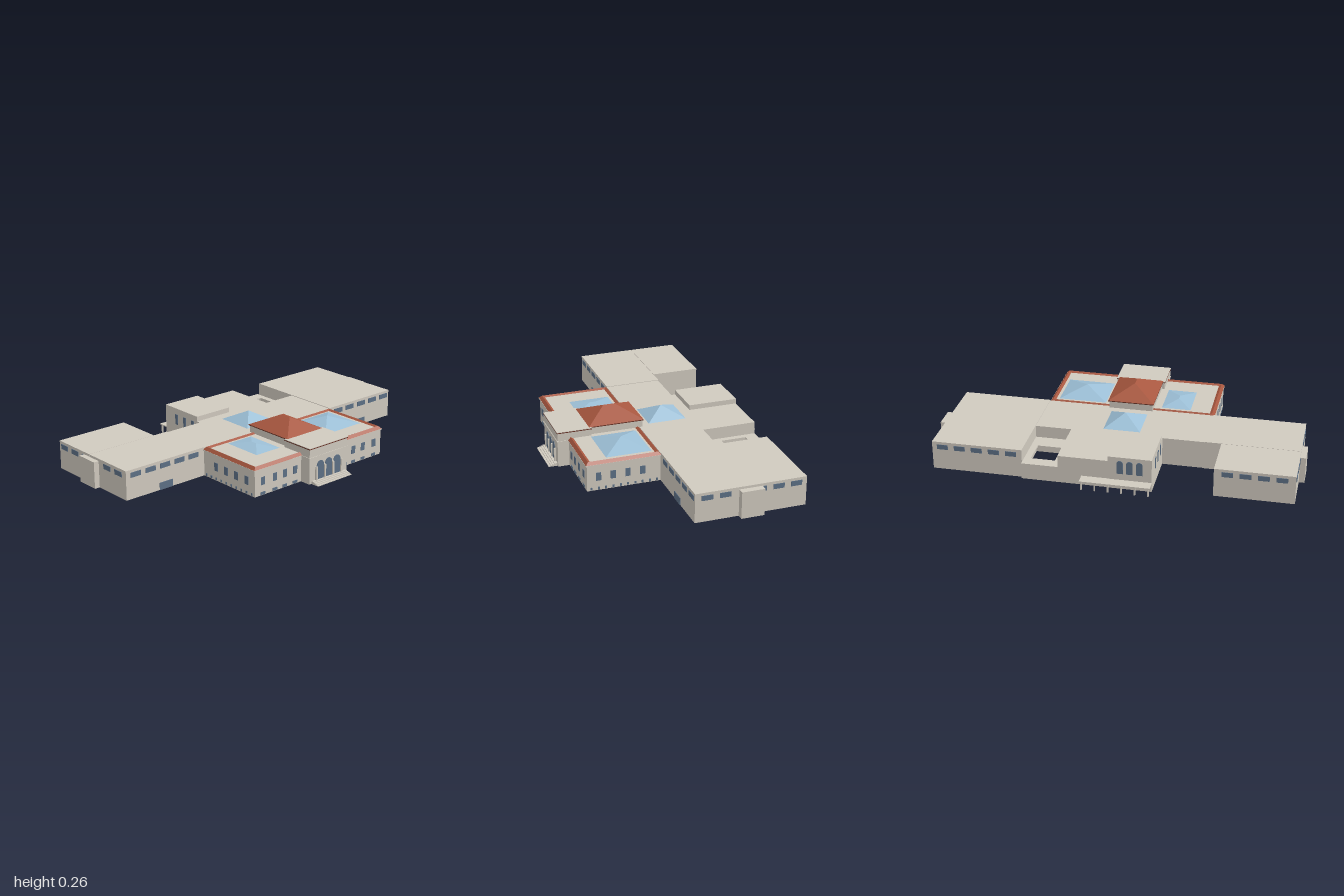
import * as THREE from 'three';

const mat = (name, color) => {
  const m = new THREE.MeshStandardMaterial({ color, side: THREE.DoubleSide });
  m.name = name;
  return m;
};

export function createModel() {
  const model = new THREE.Group();
  model.name = 'building';
  const stone = mat('pale stone', 0xd0cabf);
  const tile = mat('red tile', 0xa8573f);
  const trim = mat('dark tile trim', 0x6b3529);
  const glass = mat('window glass', 0x5d7086);
  const sky = mat('skylight glass', 0x9cbfd6);

  const add = (name, geo, material) => {
    const mesh = new THREE.Mesh(geo, material);
    mesh.name = name;
    model.add(mesh);
    return mesh;
  };

  // Solid box given by its extents
  const box = (name, x0, x1, y0, y1, z0, z1, m = stone) => {
    const g = new THREE.BoxGeometry(x1 - x0, y1 - y0, z1 - z0);
    g.translate((x0 + x1) / 2, (y0 + y1) / 2, (z0 + z1) / 2);
    return add(name, g, m);
  };

  // Hollow block standing on the ground: walls and roof, no floor
  const shell = (name, x0, x1, z0, z1, h, openTop = false) => {
    const mesh = box(name, x0, x1, 0, h, z0, z1);
    const idx = Array.from(mesh.geometry.index.array);
    mesh.geometry.setIndex(idx.filter((_, i) => !((i >= 18 && i < 24) || (openTop && i >= 12 && i < 18))));
    mesh.geometry.clearGroups();
    return mesh;
  };

  // Flat-faced surface from a list of polygons (each a fan of corners)
  const faces = (polys) => {
    const p = [];
    for (const f of polys)
      for (let i = 1; i < f.length - 1; i++) p.push(...f[0], ...f[i], ...f[i + 1]);
    const g = new THREE.BufferGeometry();
    g.setAttribute('position', new THREE.Float32BufferAttribute(p, 3));
    g.computeVertexNormals();
    return g;
  };

  // Hip roof or pyramid, ridge running along z from r0 (back) to r1 (front)
  const hip = (name, x0, x1, z0, z1, y0, y1, r0, r1, m) => {
    const xm = (x0 + x1) / 2;
    const A = [x0, y0, z1], B = [x1, y0, z1], C = [x1, y0, z0], D = [x0, y0, z0];
    const F = [xm, y1, r1], K = [xm, y1, r0];
    return add(name, faces([[A, B, F], [B, C, K, F], [C, D, K], [D, A, F, K]]), m);
  };

  // Wings and hall
  shell('westWing', -0.97, -0.46, -0.238, 0.08, 0.16);
  shell('westRearWing', -0.97, -0.548, -0.512, -0.24, 0.16);
  shell('eastWing', 0.47, 0.963, -0.522, 0.08, 0.16);
  shell('centralHall', -0.46, 0.47, -0.235, 0.08, 0.157);
  shell('rearHall', -0.23, 0.272, -0.537, -0.235, 0.157);
  shell('rearTower', -0.23, 0.002, -0.539, -0.258, 0.185);
  shell('eastEndBay', 0.963, 0.998, -0.28, -0.155, 0.147);
  shell('westEndBay', -1, -0.97, -0.285, -0.155, 0.147);

  // Low rear court with an open light well
  shell('courtWalls', 0.272, 0.47, -0.537, -0.235, 0.085, true);
  const court = new THREE.Shape([[0.272, 0.235], [0.47, 0.235], [0.47, 0.537], [0.272, 0.537]]
    .map(([x, y]) => new THREE.Vector2(x, y)));
  court.holes.push(new THREE.Path([[0.303, 0.33], [0.303, 0.472], [0.435, 0.472], [0.435, 0.33]]
    .map(([x, y]) => new THREE.Vector2(x, y))));
  const courtGeo = new THREE.ExtrudeGeometry(court, { depth: 0.01, bevelEnabled: false });
  courtGeo.rotateX(-Math.PI / 2).translate(0, 0.08, 0);
  add('courtRoof', courtGeo, stone);

  // Front pavilion with a tiled parapet sloping both ways
  shell('frontPavilion', -0.46, 0.467, 0.08, 0.482, 0.15);
  box('pavilionCornice', -0.466, 0.472, 0.142, 0.148, 0.076, 0.488, stone);
  const loop = (d, y) => [[-0.466 + d, y, 0.488 - d], [0.472 - d, y, 0.488 - d],
    [0.472 - d, y, 0.074 + d], [-0.466 + d, y, 0.074 + d]];
  const loops = [loop(0, 0.147), loop(0.016, 0.163), loop(0.031, 0.155)];
  const ring = [];
  for (let k = 0; k < 2; k++)
    for (let i = 0; i < 4; i++) {
      const j = (i + 1) % 4;
      ring.push([loops[k][i], loops[k][j], loops[k + 1][j], loops[k + 1][i]]);
    }
  add('parapetTiles', faces(ring), tile);
  box('pavilionRoof', -0.436, 0.442, 0.15, 0.156, 0.104, 0.458);

  // Central lantern and entrance block
  shell('lanternBase', -0.12, 0.125, 0.062, 0.36, 0.196);
  box('lanternEave', -0.126, 0.131, 0.196, 0.201, 0.057, 0.366, trim);
  hip('lanternRoof', -0.126, 0.131, 0.057, 0.366, 0.201, 0.262, 0.182, 0.245, tile);
  shell('entranceBlock', -0.135, 0.14, 0.355, 0.545, 0.195);
  box('entranceBand', -0.138, 0.143, 0.142, 0.148, 0.36, 0.548);
  box('entranceTrim', -0.138, 0.143, 0.193, 0.198, 0.354, 0.548, trim);
  box('entranceRoof', -0.138, 0.143, 0.198, 0.201, 0.354, 0.548);

  // Entrance steps
  for (let i = 0; i < 4; i++)
    box('entranceStep', -0.12, 0.128, i * 0.004, (i + 1) * 0.004, 0.54, 0.595 - i * 0.011);

  // Skylights
  hip('eastSkylight', 0.157, 0.425, 0.115, 0.365, 0.157, 0.2, 0.24, 0.24, sky);
  hip('westSkylight', -0.325, -0.163, 0.118, 0.345, 0.157, 0.175, 0.215, 0.25, sky);
  hip('hallSkylight', -0.1, 0.102, -0.197, 0.018, 0.158, 0.213, -0.087, -0.087, sky);

  // Rear canopy on slim posts
  box('canopy', -0.23, 0.145, 0.047, 0.053, -0.598, -0.537);
  for (let i = 0; i < 6; i++) {
    const x = -0.22 + i * 0.071;
    box('canopyPost', x - 0.004, x + 0.004, 0, 0.048, -0.592, -0.584);
  }

  // Rectangular panes on walls facing z or x
  const T = 0.003;
  const paneZ = (x, w, y0, y1, z) => box('window', x - w / 2, x + w / 2, y0, y1, z - T, z + T, glass);
  const paneX = (z, w, y0, y1, x) => box('window', x - T, x + T, y0, y1, z - w / 2, z + w / 2, glass);

  for (let i = 0; i < 5; i++) {
    paneZ(-0.909 + i * 0.094, 0.064, 0.118, 0.145, 0.08);
    paneZ(0.54 + i * 0.094, 0.064, 0.118, 0.145, 0.08);
    paneZ(0.53 + i * 0.094, 0.06, 0.118, 0.145, -0.522);
    if (i < 4) paneZ(-0.9 + i * 0.094, 0.06, 0.118, 0.145, -0.512);
  }
  for (const x of [-0.717, 0.72]) paneZ(x, 0.084, 0, 0.04, 0.08);
  for (let i = 0; i < 6; i++) {
    if (i === 2) continue;
    paneX(0.015 - i * 0.096, 0.06, 0.118, 0.145, 0.963);
    paneX(0.015 - i * 0.096, 0.06, 0.118, 0.145, -0.97);
  }

  // Pavilion windows and small basement lights
  for (const x of [-0.405, -0.322, -0.252, -0.18, 0.19, 0.253, 0.327, 0.412]) {
    paneZ(x, 0.028, 0.057, 0.1, 0.482);
    paneZ(x, 0.03, 0.003, 0.018, 0.482);
  }
  for (const x of [-0.46, 0.467]) {
    for (let i = 0; i < 4; i++) paneX(0.42 - i * 0.08, 0.028, 0.055, 0.1, x);
    for (let i = 0; i < 10; i++) paneX(0.46 - i * 0.04, 0.01, 0.004, 0.018, x);
  }

  // Round-headed windows
  const arch = (name, x, w, y0, y1, z) => {
    const r = w / 2, s = new THREE.Shape();
    s.moveTo(-r, y0).lineTo(r, y0).lineTo(r, y1 - r).absarc(0, y1 - r, r, 0, Math.PI).lineTo(-r, y0);
    const g = new THREE.ExtrudeGeometry(s, { depth: 2 * T, bevelEnabled: false, curveSegments: 8 });
    add(name, g.translate(x, 0, z - T), glass);
  };
  for (let i = 0; i < 3; i++) {
    arch('entranceArch', -0.058 + i * 0.061, 0.05, 0.016, 0.118, 0.545);
    arch('towerArch', -0.165 + i * 0.052, 0.034, 0.09, 0.165, -0.539);
    paneX(-0.44 + i * 0.072, 0.022, 0.09, 0.15, -0.23);
  }
  // Pilasters between the entrance arches
  for (let i = 0; i < 4; i++) {
    const x = -0.0885 + i * 0.061;
    box('entrancePilaster', x - 0.005, x + 0.005, 0.016, 0.09, 0.543, 0.555);
  }

  return model;
}
